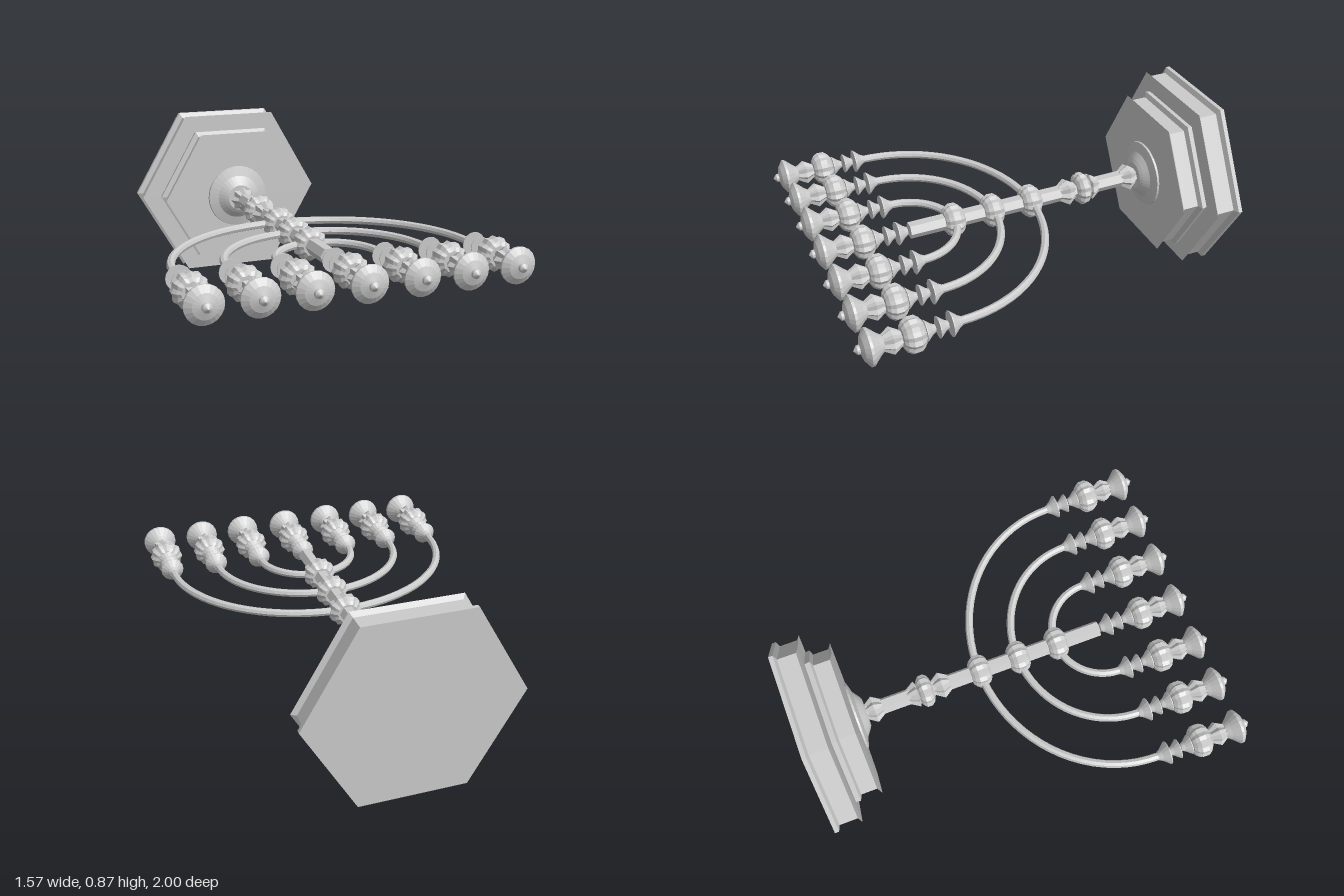
import * as THREE from 'three';

const material = new THREE.MeshStandardMaterial({ color: 0xcccccc, flatShading: true, side: THREE.DoubleSide });

// Turned solid along y from [radius, height] pairs
function turned(profile, sides, start = 0) {
  return new THREE.LatheGeometry(profile.map(([r, y]) => new THREE.Vector2(r, y)), sides, start);
}

// Turned solid with alternating ridges and grooves
function fluted(profile, lobes, depth) {
  const geo = turned(profile, lobes * 2);
  const pos = geo.attributes.position;
  for (let i = 0; i < pos.count; i++) {
    if (Math.floor(i / profile.length) % 2 === 0) continue;
    pos.setX(i, pos.getX(i) * depth);
    pos.setZ(i, pos.getZ(i) * depth);
  }
  return geo;
}

function add(parent, name, geo, y = 0) {
  const mesh = new THREE.Mesh(geo, material);
  mesh.name = name;
  mesh.position.y = y;
  parent.add(mesh);
  return mesh;
}

export function createModel() {
  const model = new THREE.Group();
  model.name = 'branchedLampstand';

  // The stand is built upright, then laid down with its base at the back
  const stand = new THREE.Group();
  stand.name = 'stand';
  stand.rotation.x = Math.PI / 2;
  stand.position.y = 0.433;
  model.add(stand);

  // Two-tier hexagonal base with lipped edges
  add(stand, 'lowerBaseTier', turned([
    [0, -1], [0.5, -1], [0.5, -0.98], [0.472, -0.968], [0.472, -0.88], [0.496, -0.865], [0, -0.865],
  ], 6, Math.PI / 2));
  add(stand, 'upperBaseTier', turned([
    [0, -0.866], [0.396, -0.864], [0.4, -0.84], [0.372, -0.83], [0.372, -0.752], [0.4, -0.735], [0, -0.735],
  ], 6, Math.PI / 2));
  add(stand, 'stemFoot', turned([
    [0, -0.736], [0.165, -0.735], [0.163, -0.725], [0.115, -0.712], [0.085, -0.69], [0.068, -0.68], [0, -0.68],
  ], 32));

  // Hexagonal stem
  add(stand, 'stem', turned([[0, -0.7], [0.04, -0.7], [0.04, 0.52], [0, 0.52]], 6, Math.PI / 2));

  // Shared ornaments
  const knob = fluted([
    [0, -0.048], [0.05, -0.048], [0.066, -0.036], [0.08, -0.018],
    [0.081, 0.015], [0.068, 0.036], [0.05, 0.048], [0, 0.048],
  ], 12, 0.9);
  const bud = fluted([[0, -0.042], [0.038, -0.042], [0.068, 0], [0.04, 0.042], [0, 0.042]], 8, 0.78);

  // Stem ornaments
  add(stand, 'stemBud', bud, -0.64);
  add(stand, 'stemBud', fluted([[0, -0.475], [0.035, -0.475], [0.068, -0.425], [0.045, -0.415], [0, -0.415]], 8, 0.8));
  add(stand, 'stemKnob', knob, -0.382).scale.y = 0.75;
  add(stand, 'stemBud', bud, -0.3);

  // Cup parts: three flared collars, knob, bud and capped cup
  const collar = turned([[0, 0], [0.02, 0], [0.03, 0.018], [0.057, 0.048], [0.057, 0.052], [0, 0.052]], 16);
  const cap = turned([
    [0, 0.875], [0.035, 0.875], [0.05, 0.895], [0.083, 0.93], [0.084, 0.942],
    [0.055, 0.962], [0.021, 0.973], [0.02, 0.985], [0, 1],
  ], 20);
  function addCup(x) {
    const cup = new THREE.Group();
    cup.name = 'lampCup';
    cup.position.x = x;
    add(cup, 'lowerCollar', collar, 0.53);
    for (const y of [0.59, 0.648]) add(cup, 'upperCollar', collar, y).scale.set(0.84, 0.9, 0.84);
    add(cup, 'cupKnob', knob, 0.746);
    add(cup, 'cupBud', bud, 0.838).scale.set(0.88, 1, 0.88);
    add(cup, 'cupCap', cap);
    stand.add(cup);
  }
  addCup(0);

  // Three pairs of arched branches, each crossing the stem at a knob
  for (const [reach, low] of [[0.7, -0.105], [0.47, 0.095], [0.24, 0.295]]) {
    const points = [];
    for (let i = 0; i <= 24; i++) {
      const a = Math.PI * (i / 24);
      points.push(new THREE.Vector3(-reach * Math.cos(a), 0.535 - (0.535 - low) * Math.sin(a), 0));
    }
    add(stand, 'branchPair', new THREE.TubeGeometry(new THREE.CatmullRomCurve3(points), 40, 0.019, 8));
    add(stand, 'branchKnob', knob, low + 0.003);
    for (const side of [-1, 1]) addCup(side * reach);
  }

  return model;
}
